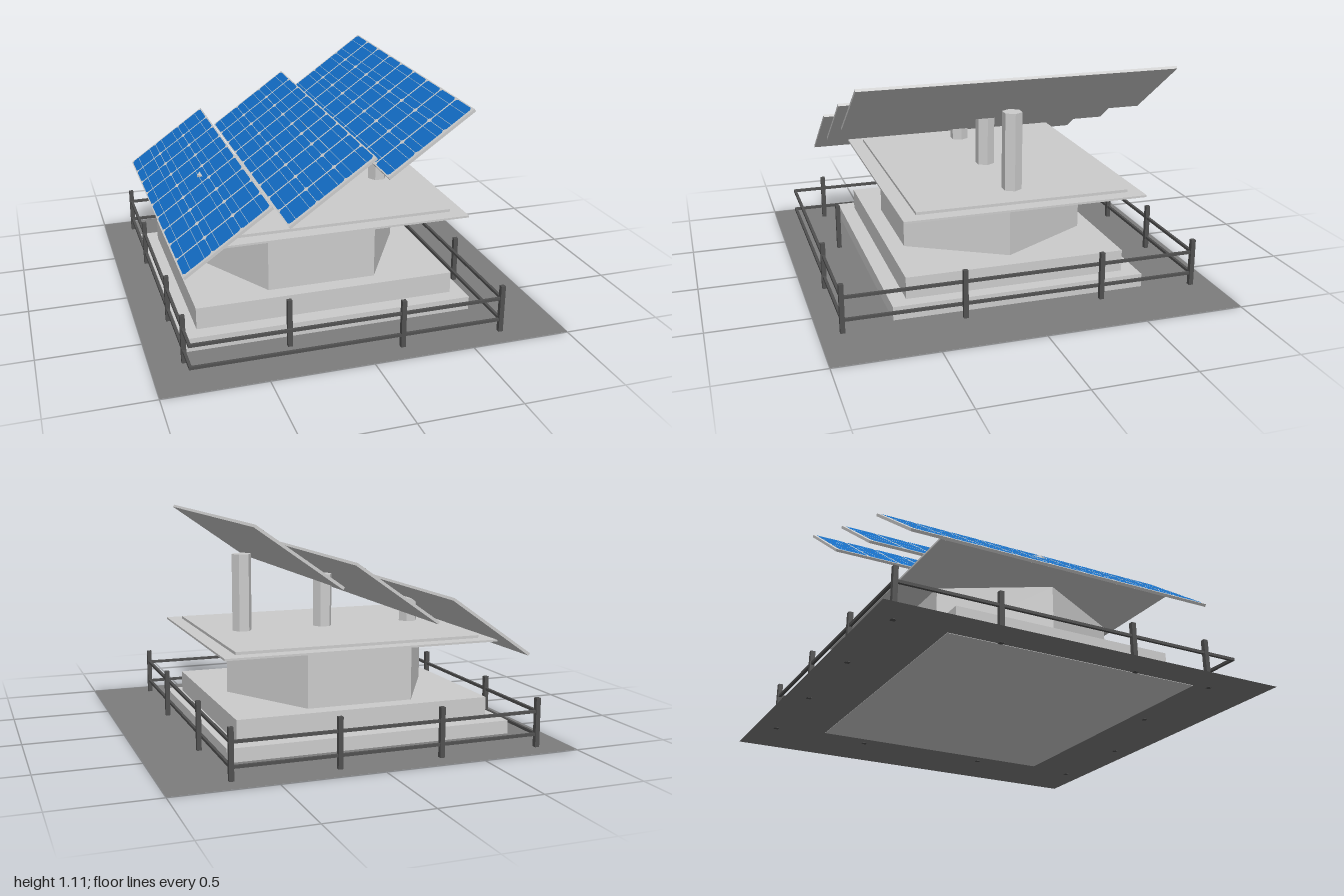
import * as THREE from 'three';

const grey = new THREE.MeshStandardMaterial({ color: 0xcccccc, flatShading: true });
const paving = new THREE.MeshStandardMaterial({ color: 0x7d7d7d, side: THREE.DoubleSide });
const iron = new THREE.MeshStandardMaterial({ color: 0x505050 });
const blue = new THREE.MeshStandardMaterial({ color: 0x126cc4 });

function add(parent, name, geometry, material, x, y, z) {
  const mesh = new THREE.Mesh(geometry, material);
  mesh.name = name;
  mesh.position.set(x, y, z);
  parent.add(mesh);
  return mesh;
}

// Box given by its low and high limits on each axis
function block(parent, name, material, [x0, x1], [y0, y1], [z0, z1]) {
  return add(parent, name, new THREE.BoxGeometry(x1 - x0, y1 - y0, z1 - z0), material,
    (x0 + x1) / 2, (y0 + y1) / 2, (z0 + z1) / 2);
}

// Six-sided column with corners pointing along x
function hexColumn(parent, name, radius, x, y0, y1, z) {
  const geometry = new THREE.CylinderGeometry(radius, radius, y1 - y0, 6).rotateY(Math.PI / 6);
  return add(parent, name, geometry, grey, x, (y0 + y1) / 2, z);
}

// Square solar cell with clipped corners, lying flat and facing up
function cellGeometry(size, clip) {
  const h = size / 2, k = h - clip;
  const outline = [[-k, -h], [k, -h], [h, -k], [h, k], [k, h], [-k, h], [-h, k], [-h, -k]];
  const shape = new THREE.Shape(outline.map(([x, y]) => new THREE.Vector2(x, y)));
  return new THREE.ShapeGeometry(shape).rotateX(-Math.PI / 2);
}

// Tilted panel: backing board, 3 x 9 cells and thin conductor strips
function solarPanel(x, y) {
  const panel = new THREE.Group();
  panel.name = 'solarPanel';
  const thick = 0.014, length = 1.585;
  add(panel, 'panelBoard', new THREE.BoxGeometry(0.507, thick, length), grey, 0, 0, 0);
  const cell = cellGeometry(0.163, 0.012);
  const strip = new THREE.BoxGeometry(0.002, 0.0006, length - 0.02);
  for (let column = -1; column <= 1; column++) {
    for (let row = -4; row <= 4; row++) {
      add(panel, 'solarCell', cell, blue, column * 0.1655, thick / 2 + 0.002, row * 0.174);
    }
    for (const side of [-0.04, 0.04]) {
      add(panel, 'conductorStrip', strip, grey, column * 0.1655 + side, thick / 2 + 0.0021, 0);
    }
  }
  panel.position.set(x, y, -0.028);
  panel.rotation.z = THREE.MathUtils.degToRad(35);
  return panel;
}

export function createModel() {
  const model = new THREE.Group();
  model.name = 'solarStation';

  // Ground and stepped base
  add(model, 'ground', new THREE.PlaneGeometry(2, 2).rotateX(-Math.PI / 2), paving, 0, 0.002, 0);
  block(model, 'lowerStep', grey, [-0.83, 0.64], [0, 0.07], [-0.64, 0.64]);
  block(model, 'upperStep', grey, [-0.745, 0.57], [0.07, 0.18], [-0.56, 0.56]);
  hexColumn(model, 'pedestal', 0.55, -0.09, 0.18, 0.45, 0);

  // Two-layer platform floating just above the pedestal
  block(model, 'platform', grey, [-0.755, 0.645], [0.482, 0.492], [-0.645, 0.58]);
  block(model, 'platformTop', grey, [-0.685, 0.575], [0.492, 0.506], [-0.575, 0.505]);

  // Panel masts, rising step by step
  for (const [x, top] of [[-0.55, 0.63], [-0.055, 0.78], [0.385, 0.9]]) {
    hexColumn(model, 'panelMast', 0.051, x, 0.5, top, -0.032);
  }
  for (const [x, y] of [[-0.621, 0.59], [-0.131, 0.773], [0.345, 0.957]]) {
    model.add(solarPanel(x, y));
  }

  // Fence posts
  const fence = new THREE.Group();
  fence.name = 'fence';
  model.add(fence);
  const posts = [
    [-0.84, -0.89], [-0.33, -0.89], [0.18, -0.89], [0.69, -0.89],
    [0.71, -0.39], [0.71, 0.305], [-0.84, -0.39], [-0.84, 0.305],
    [0.69, 0.89], [0.18, 0.89], [-0.33, 0.725], [-0.84, 0.725],
  ];
  const post = new THREE.BoxGeometry(0.023, 0.245, 0.023);
  for (const [x, z] of posts) add(fence, 'fencePost', post, iron, x, 0.1225, z);

  // Two rails on each of the four sides
  const r = 0.007;
  for (const y of [0.065, 0.178]) {
    for (const z of [-0.89, 0.89]) {
      block(fence, 'fenceRail', iron, [-0.84 - r, 0.69 + r], [y - r, y + r], [z - r, z + r]);
    }
    for (const x of [-0.84, 0.69]) {
      block(fence, 'fenceRail', iron, [x - r, x + r], [y - r, y + r], [-0.89 + r, 0.89 - r]);
    }
  }
  return model;
}
